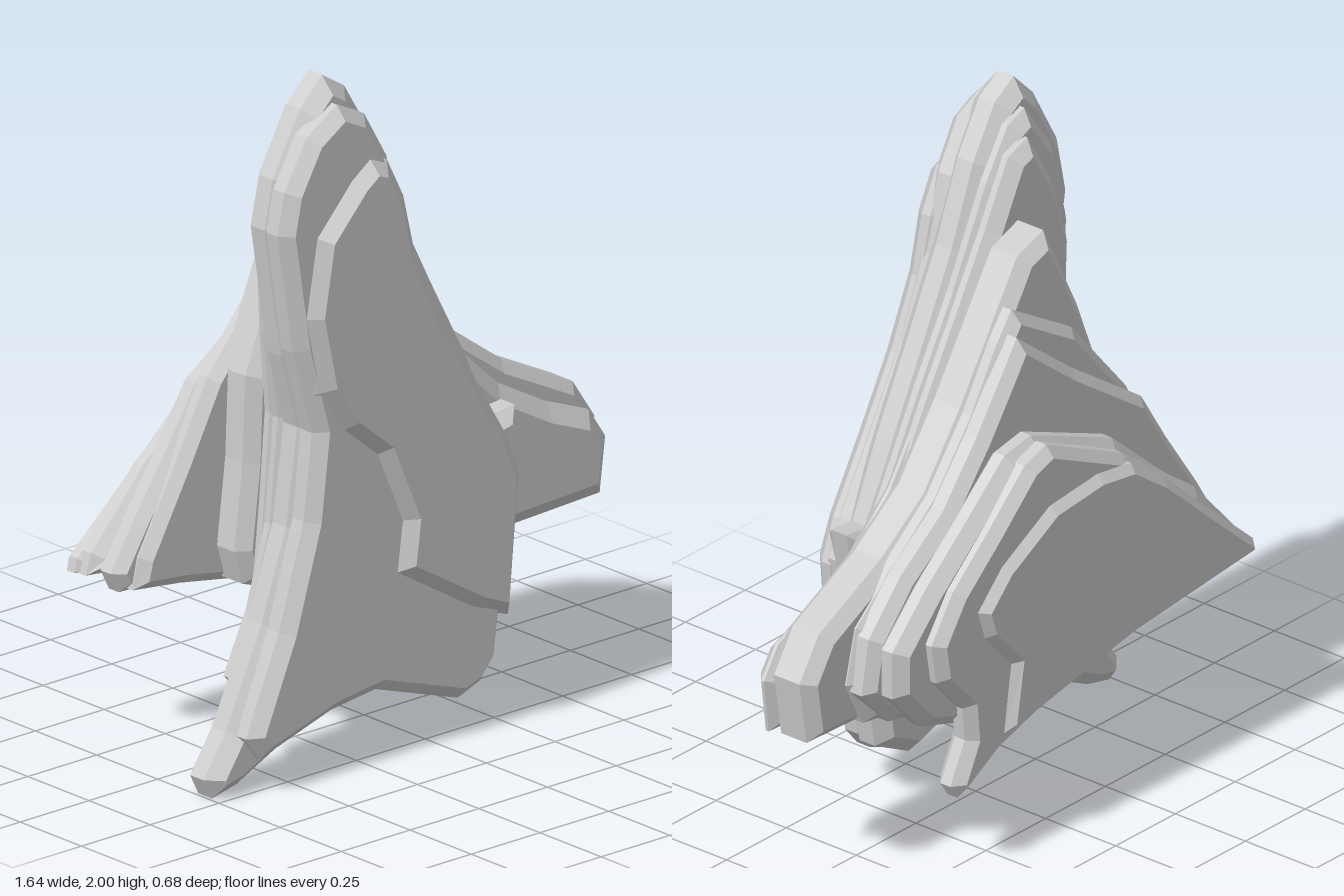
import * as THREE from 'three';

// Stratified rock: bevelled slabs stacked from back to front.
export function createModel() {
  const model = new THREE.Group();
  model.name = 'layeredRock';
  const material = new THREE.MeshStandardMaterial({ color: 0xcccccc, flatShading: true });

  // One slab: outline in x/y, spanning z0..z1, with chamfered rims
  function stratum(name, z0, z1, rim, outline) {
    const shape = new THREE.Shape(outline.map(([x, y]) => new THREE.Vector2(x, y)));
    const chamfer = Math.min(rim, (z1 - z0) * 0.45);
    const geometry = new THREE.ExtrudeGeometry(shape, {
      depth: z1 - z0 - 2 * chamfer, steps: 1, bevelEnabled: true,
      bevelThickness: chamfer, bevelSize: rim, bevelOffset: -rim, bevelSegments: 1,
    });
    geometry.translate(0, 0, z0 + chamfer);
    const mesh = new THREE.Mesh(geometry, material);
    mesh.name = name;
    model.add(mesh);
  }

  // Raised panel running down the front
  stratum('frontPanel', 0.22, 0.34, 0.045, [
    [-0.32, 1.72], [-0.25, 1.77], [-0.18, 1.74], [-0.12, 1.62], [-0.08, 1.45], [0.01, 1.25],
    [0.13, 1.04], [0.25, 0.84], [0.3, 0.72], [0.28, 0.5], [0.26, 0.31], [0.12, 0.36],
    [-0.16, 0.53], [-0.14, 0.68], [-0.23, 0.89], [-0.35, 0.99], [-0.44, 1.12], [-0.49, 1.35],
    [-0.45, 1.58]]);

  // Tall front slab
  stratum('frontSlab', 0.19, 0.305, 0.035, [
    [-0.34, 1.93], [-0.24, 1.88], [-0.16, 1.74], [-0.1, 1.52], [0, 1.28], [0.12, 1.07],
    [0.25, 0.85], [0.3, 0.74], [0.27, 0.5], [0.23, 0.19], [0.18, 0.13], [0.1, 0.1],
    [-0.02, 0.14], [-0.2, 0.2], [-0.36, 0.18], [-0.62, 0.1], [-0.67, 0.17], [-0.55, 0.45],
    [-0.46, 0.75], [-0.43, 1.0], [-0.5, 1.25], [-0.555, 1.6], [-0.53, 1.72], [-0.45, 1.86]]);

  // Slab with the summit and the long foot
  stratum('summitSlab', 0.115, 0.25, 0.04, [
    [-0.34, 2.0], [-0.26, 1.95], [-0.17, 1.8], [-0.08, 1.57], [0.05, 1.31], [0.17, 1.08],
    [0.27, 0.86], [0.36, 0.87], [0.33, 0.72], [0.29, 0.45], [0.24, 0.18], [0.1, 0.11],
    [-0.05, 0.16], [-0.2, 0.2], [-0.38, 0.15], [-0.65, 0.02], [-0.74, 0], [-0.77, 0.06],
    [-0.69, 0.18], [-0.56, 0.46], [-0.47, 0.72], [-0.43, 1.0], [-0.49, 1.22],
    [-0.55, 1.6], [-0.52, 1.74], [-0.42, 1.92]]);

  // Inner slabs sloping back from the summit
  stratum('innerSlab', 0.065, 0.155, 0.035, [
    [-0.32, 1.93], [-0.25, 1.9], [-0.16, 1.76], [-0.02, 1.48], [0.12, 1.24], [0.25, 1.0],
    [0.34, 0.84], [0.33, 0.58], [0.27, 0.36], [0.05, 0.28], [-0.25, 0.27], [-0.55, 0.24],
    [-0.6, 0.29], [-0.52, 0.46], [-0.45, 0.7], [-0.42, 1.0], [-0.46, 1.25], [-0.49, 1.55],
    [-0.43, 1.78]]);
  stratum('innerStep', 0.02, 0.11, 0.035, [
    [-0.28, 1.87], [-0.2, 1.84], [-0.1, 1.65], [0.02, 1.44], [0.15, 1.22], [0.27, 1.0],
    [0.33, 0.65], [0.27, 0.42], [0.05, 0.35], [-0.25, 0.36], [-0.46, 0.45],
    [-0.43, 0.75], [-0.41, 1.0], [-0.43, 1.25], [-0.44, 1.52], [-0.37, 1.72]]);

  // Slabs that carry the side wing
  stratum('wingFront', 0.02, 0.12, 0.05, [
    [-0.2, 1.62], [-0.08, 1.57], [0.02, 1.4], [0.16, 1.19], [0.28, 1.01], [0.42, 0.88],
    [0.6, 0.78], [0.75, 0.72], [0.81, 0.63], [0.79, 0.47], [0.55, 0.46], [0.3, 0.45],
    [0.15, 0.37], [-0.2, 0.41], [-0.42, 0.5], [-0.41, 0.75], [-0.4, 1.0], [-0.38, 1.3]]);
  stratum('wingBack', -0.105, 0.055, 0.035, [
    [-0.2, 1.66], [-0.09, 1.62], [0.02, 1.45], [0.15, 1.25], [0.3, 1.05], [0.48, 0.92],
    [0.74, 0.79], [0.82, 0.67], [0.79, 0.48], [0.5, 0.47], [0.3, 0.45], [0.15, 0.36],
    [-0.2, 0.41], [-0.46, 0.5], [-0.49, 0.6], [-0.46, 0.85], [-0.45, 1.1], [-0.34, 1.38]]);

  // Stepped middle layers with the pointed tail
  stratum('upperStep', -0.14, -0.05, 0.03, [
    [-0.02, 1.5], [0.04, 1.42], [0.15, 1.24], [0.3, 1.05], [0.45, 0.93], [0.63, 0.78],
    [0.67, 0.62], [0.6, 0.48], [0.3, 0.44], [0.15, 0.36], [-0.2, 0.44], [-0.6, 0.51],
    [-0.77, 0.53], [-0.75, 0.62], [-0.61, 0.87], [-0.5, 1.08], [-0.27, 1.35]]);
  stratum('tailStep', -0.185, -0.085, 0.03, [
    [0.01, 1.44], [0.08, 1.34], [0.18, 1.2], [0.32, 1.03], [0.5, 0.9], [0.63, 0.76],
    [0.66, 0.6], [0.55, 0.48], [0.32, 0.44], [0.18, 0.33], [-0.1, 0.4], [-0.5, 0.51],
    [-0.79, 0.52], [-0.82, 0.58], [-0.74, 0.71], [-0.61, 0.9], [-0.51, 1.06], [-0.22, 1.26]]);
  stratum('recessStep', -0.265, -0.16, 0.035, [
    [0.04, 1.18], [0.15, 1.16], [0.3, 1.03], [0.48, 0.88], [0.62, 0.74], [0.62, 0.6],
    [0.5, 0.47], [0.34, 0.42], [0.22, 0.31], [0.05, 0.38], [-0.3, 0.47], [-0.71, 0.52],
    [-0.71, 0.6], [-0.54, 0.83], [-0.3, 1.04]]);

  // Back slab with the short foot
  stratum('backSlab', -0.315, -0.22, 0.03, [
    [0.04, 1.17], [0.13, 1.14], [0.28, 1.0], [0.43, 0.87], [0.52, 0.74], [0.5, 0.62],
    [0.39, 0.5], [0.38, 0.4], [0.44, 0.28], [0.41, 0.235], [0.26, 0.32], [0.1, 0.37],
    [-0.2, 0.44], [-0.6, 0.51], [-0.79, 0.53], [-0.77, 0.59], [-0.58, 0.8], [-0.28, 1.02]]);

  // Flat back panel
  stratum('backPanel', -0.34, -0.26, 0.025, [
    [-0.14, 1.02], [0.06, 1.0], [0.26, 0.89], [0.36, 0.79], [0.33, 0.7], [0.22, 0.58],
    [0.25, 0.38], [0.1, 0.4], [-0.3, 0.48], [-0.8, 0.53], [-0.79, 0.57], [-0.62, 0.72],
    [-0.42, 0.9], [-0.28, 1.0]]);

  return model;
}
